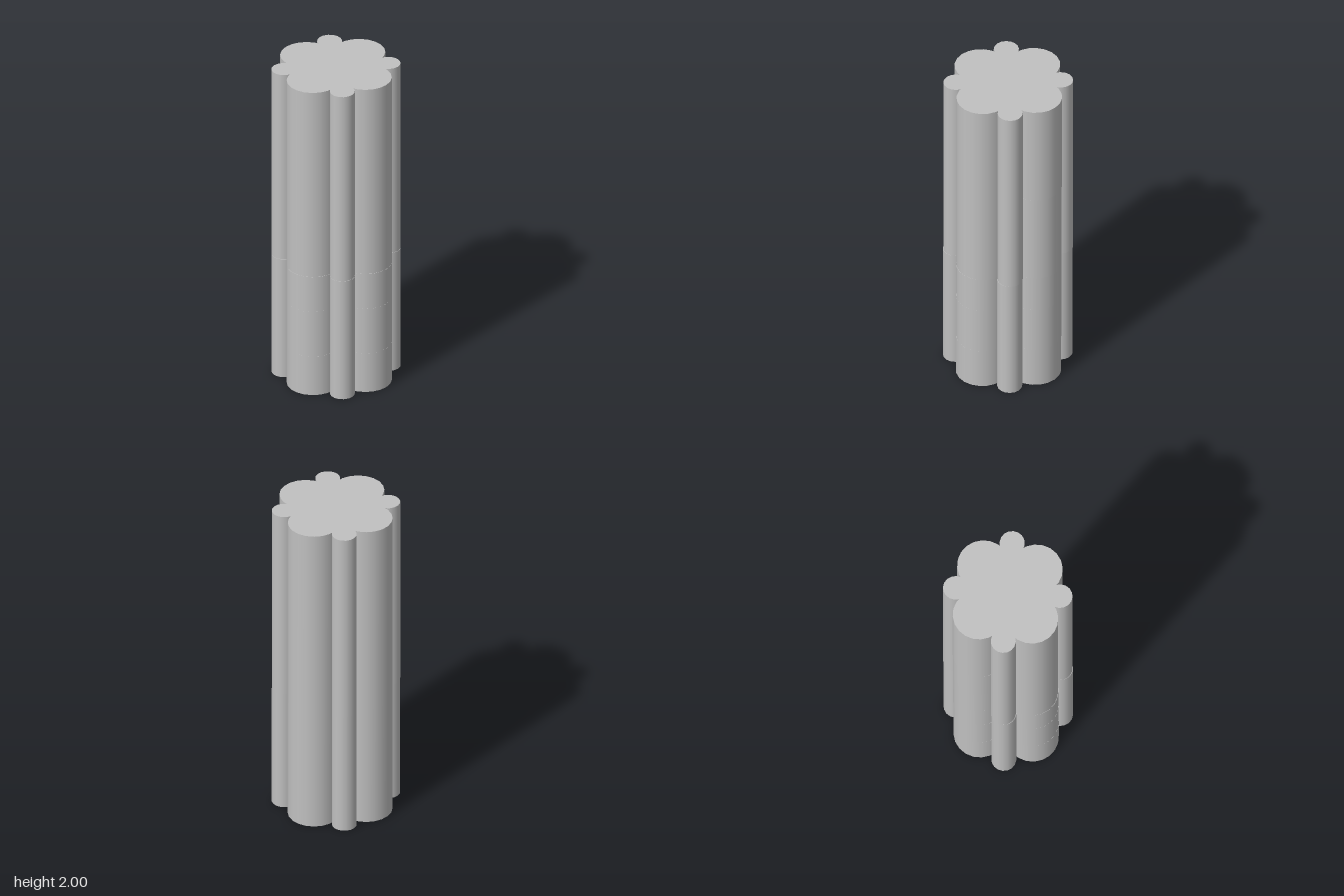
import * as THREE from 'three';

export function createModel() {
  const model = new THREE.Group();
  const stone = new THREE.MeshStandardMaterial({ color: 0xc0c0c0 });
  stone.name = 'grey stone';
  const height = 2;

  // One upright shaft made of stacked drums; each drum sits a hair off the one below.
  function addShaft(name, x, z, radius, sides, seams) {
    const shaft = new THREE.Group();
    shaft.name = name;
    const levels = [0, ...seams, height];
    for (let i = 0; i < levels.length - 1; i++) {
      const h = levels[i + 1] - levels[i];
      const drum = new THREE.Mesh(new THREE.CylinderGeometry(radius, radius, h, sides), stone);
      const mid = levels[i] + h / 2;
      const shift = 0.002 * (1 - mid);
      drum.position.set(x + shift, mid, z + shift);
      drum.name = 'drum';
      shaft.add(drum);
    }
    model.add(shaft);
  }

  // Solid core behind the shafts
  const core = new THREE.Mesh(new THREE.BoxGeometry(0.42, height, 0.42), stone);
  core.name = 'core';
  core.position.y = height / 2;
  model.add(core);

  // Four large shafts on the axes
  const c = 0.217, r = 0.153;
  const low = [0.255, 0.55, 0.78];
  addShaft('frontShaft', 0, c, r, 20, low);
  addShaft('leftShaft', c, 0, r, 20, low);
  addShaft('backShaft', 0, -c, r, 20, [...low, 1.355]);
  addShaft('rightShaft', -c, 0, r, 20, [...low, 1.055, 1.355]);

  // Four slim shafts on the diagonals
  for (const sx of [-1, 1]) {
    for (const sz of [-1, 1]) {
      const name = (sz > 0 ? 'front' : 'back') + (sx > 0 ? 'Left' : 'Right') + 'SlimShaft';
      addShaft(name, sx * 0.215, sz * 0.215, 0.073, 16, [0.78]);
    }
  }
  return model;
}
